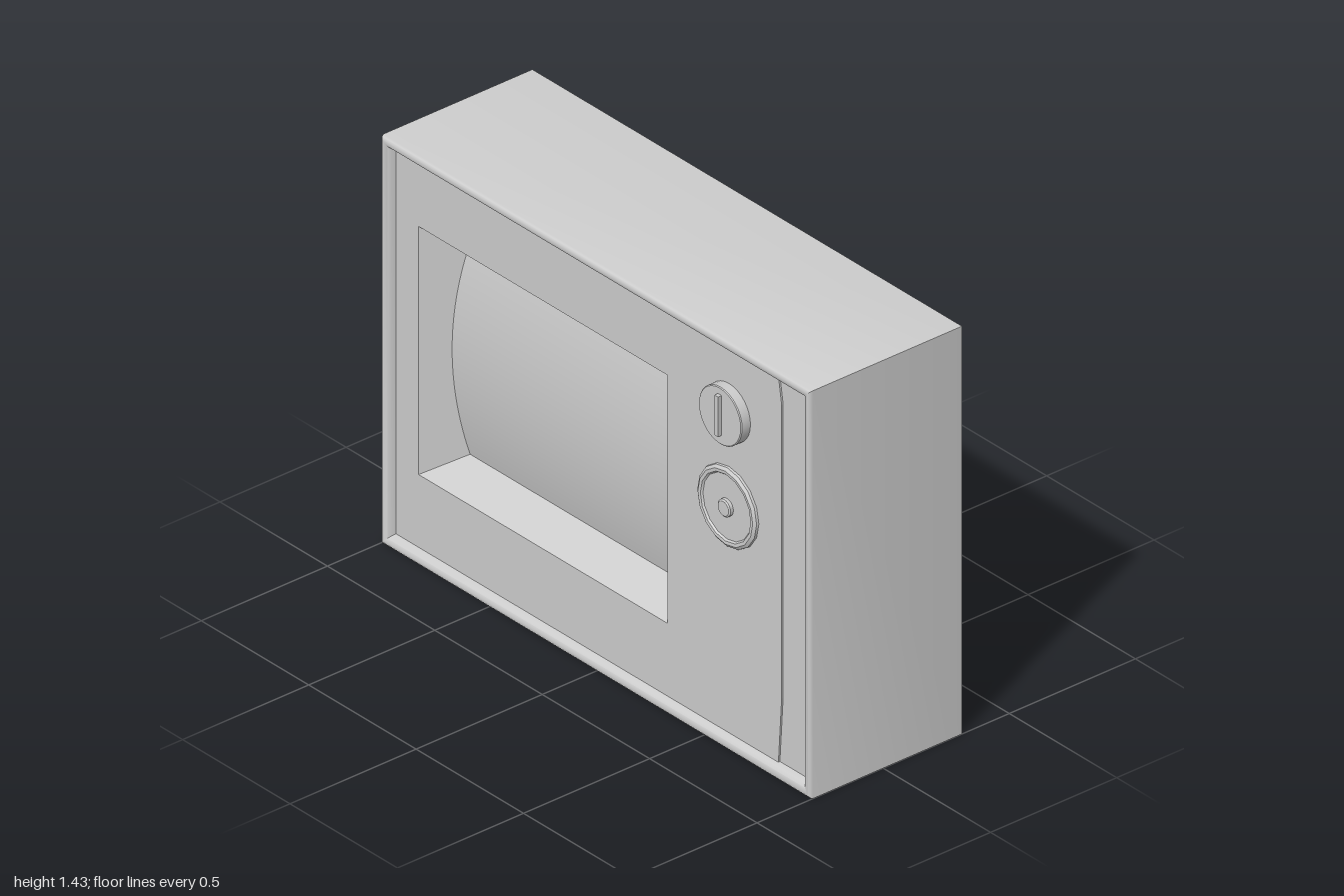
import * as THREE from 'three';
import { toCreasedNormals } from 'three/addons/utils/BufferGeometryUtils.js';

const PANEL_Z = 0.262;

export function createModel() {
  const group = new THREE.Group();
  const material = new THREE.MeshStandardMaterial({ color: 0xcccccc });
  const twoSided = new THREE.MeshStandardMaterial({ color: 0xcccccc, side: THREE.DoubleSide });

  function add(name, geometry, x = 0, y = 0, z = 0, mat = material) {
    const mesh = new THREE.Mesh(geometry, mat);
    mesh.name = name;
    mesh.position.set(x, y, z);
    group.add(mesh);
    return mesh;
  }

  // Skin through rectangular rings, each [x0, x1, y0, y1, z]
  function loftRects(rings, crease) {
    const pos = [];
    const index = [];
    rings.forEach(([x0, x1, y0, y1, z]) => pos.push(x0, y0, z, x1, y0, z, x1, y1, z, x0, y1, z));
    for (let r = 0; r < rings.length - 1; r++) {
      for (let i = 0; i < 4; i++) {
        const a = r * 4 + i, b = r * 4 + (i + 1) % 4;
        index.push(a, b, b + 4, a, b + 4, a + 4);
      }
    }
    const g = new THREE.BufferGeometry();
    g.setAttribute('position', new THREE.Float32BufferAttribute(pos, 3));
    g.setIndex(index);
    return toCreasedNormals(g, crease);
  }

  // Cabinet: side walls, rounded front rim and lip sloping in to the panel
  const rim = [[0, -0.3125], [0, 0.278], [0.003, 0.286], [0.01, 0.291], [0.018, 0.291],
    [0.028, 0.286], [0.036, 0.276], [0.042, 0.25]];
  add('cabinet', loftRects(rim.map(([d, z]) => [-1 + d, 1 - d, d, 1.43 - d, z]), 0.7), 0, 0, 0, twoSided);
  const back = add('backPanel', new THREE.PlaneGeometry(2, 1.43), 0, 0.715, -0.3125);
  back.rotation.y = Math.PI;

  // Front panel with the screen opening
  const shape = new THREE.Shape([[-0.965, 0.04], [0.82, 0.04], [0.835, 0.27], [0.835, 1.3],
    [0.82, 1.395], [-0.965, 1.395]].map(p => new THREE.Vector2(...p)));
  const win = [-0.855, 0.303, 0.295, 1.165];
  const [x0, x1, y0, y1] = win;
  shape.holes.push(new THREE.Path([[x0, y0], [x0, y1], [x1, y1], [x1, y0]].map(p => new THREE.Vector2(...p))));
  add('frontPanel', new THREE.ExtrudeGeometry(shape, { depth: 0.01, bevelEnabled: false }), 0, 0, PANEL_Z - 0.01);
  add('sideStrip', new THREE.PlaneGeometry(0.16, 1.36), 0.885, 0.717, PANEL_Z - 0.006);

  // Funnel-shaped surround leading back to the screen
  add('screenSurround', loftRects([
    [...win, PANEL_Z],
    [x0 + 0.1, x1 - 0.1, y0 + 0.07, y1 - 0.07, 0.125],
  ], 0.6), 0, 0, 0, twoSided);

  // Screen: bowed forward from top to bottom
  const screen = new THREE.PlaneGeometry(1.05, 0.75, 8, 24);
  const p = screen.attributes.position;
  for (let i = 0; i < p.count; i++) {
    const v = p.getY(i) / 0.375;
    p.setZ(i, 0.18 - 0.045 * v * v);
  }
  screen.computeVertexNormals();
  add('screen', screen, (x0 + x1) / 2, (y0 + y1) / 2, 0);

  // Turned parts face forward along z
  function turned(name, profile, sides, x, y) {
    const g = new THREE.LatheGeometry(profile.map(q => new THREE.Vector2(...q)), sides);
    g.rotateX(Math.PI / 2);
    return add(name, toCreasedNormals(g, 0.6), x, y, PANEL_Z, twoSided);
  }

  // Channel knob with its grip
  turned('upperKnob', [[0.1, -0.005], [0.1, 0.033], [0.097, 0.036], [0, 0.036]], 32, 0.59, 1.165);
  add('upperKnobGrip', new THREE.BoxGeometry(0.017, 0.14, 0.025), 0.59, 1.17, 0.3);

  // Tuning dial: raised ring, dished face and centre button
  turned('lowerDial', [[0.14, -0.005], [0.138, 0.008], [0.128, 0.015], [0.117, 0.014],
    [0.112, 0.008], [0, 0.008]], 16, 0.59, 0.835);
  turned('lowerDialButton', [[0.03, 0], [0.03, 0.019], [0.025, 0.023], [0, 0.024]], 20, 0.59, 0.835);

  return group;
}
